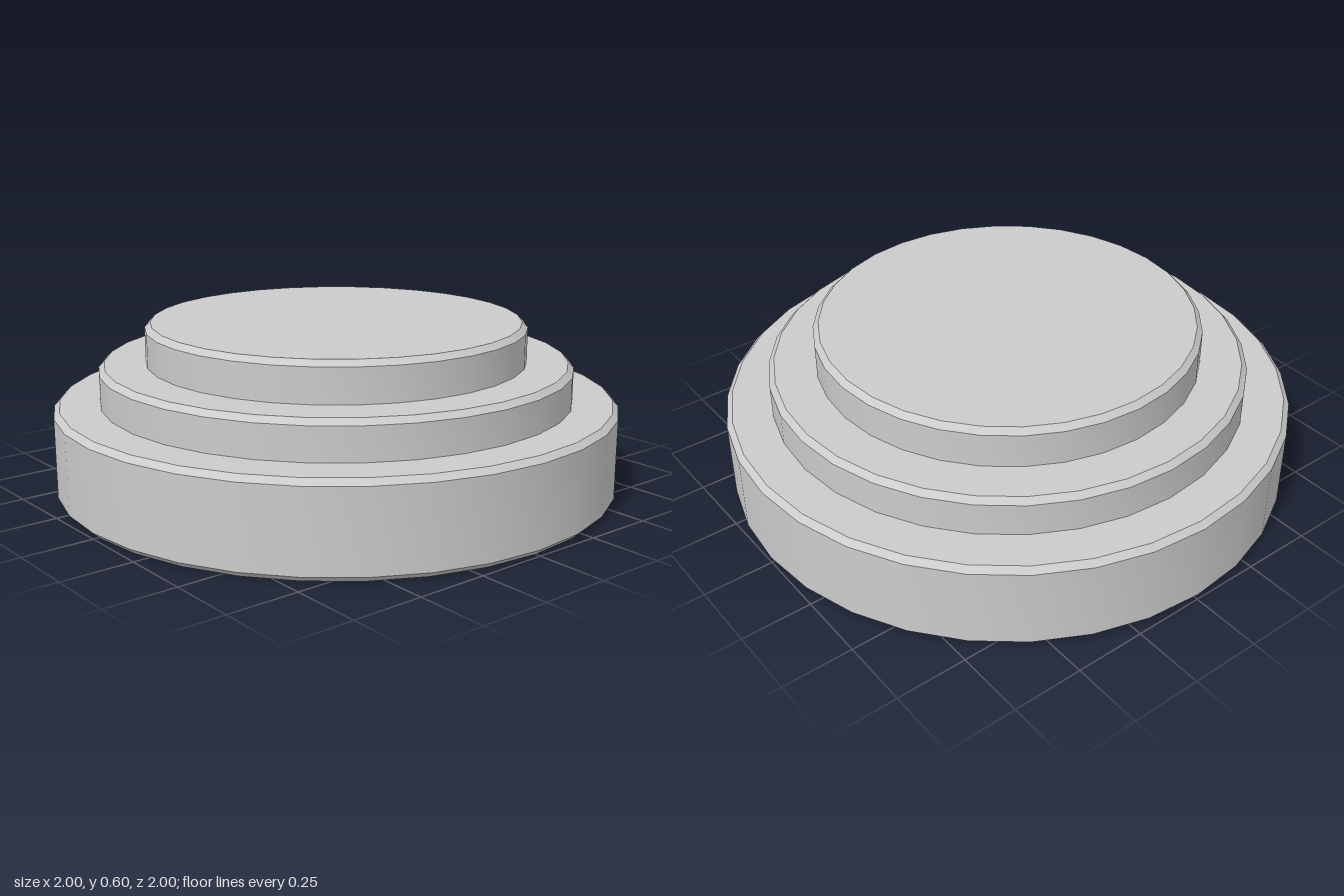
import * as THREE from 'three';
import { toCreasedNormals } from 'three/addons/utils/BufferGeometryUtils.js';

const SIDES = 32;
const BEVEL = 0.02;
const HOLE_RADIUS = 0.13, HOLE_DEPTH = 0.4;
const BASE_R = 1, MIDDLE_R = 0.84, TOP_R = 0.675;
const BASE_Y = 0.32, MIDDLE_Y = 0.455, TOP_Y = 0.595;

export function createModel() {
  const group = new THREE.Group();
  const material = new THREE.MeshStandardMaterial({ color: 0xcccccc });

  // Turned part: smooth around the axis, sharp at profile corners
  function turned(name, points) {
    const profile = points.map(([r, y]) => new THREE.Vector2(r, y));
    const geometry = toCreasedNormals(new THREE.LatheGeometry(profile, SIDES), 0.5);
    const mesh = new THREE.Mesh(geometry, material);
    mesh.name = name;
    group.add(mesh);
  }

  // Side wall with a bevelled upper rim, then a flat ledge in to the next tier
  const tier = (radius, top, inner) => [
    [radius, top - BEVEL], [radius - BEVEL, top], [inner, top],
  ];

  // Blind hole in the underside
  turned('mountingHole', [[0, HOLE_DEPTH], [HOLE_RADIUS, HOLE_DEPTH], [HOLE_RADIUS, 0]]);

  // Base disc, bevelled below as well as above
  turned('baseDisc', [
    [HOLE_RADIUS, 0], [BASE_R - BEVEL, 0], [BASE_R, BEVEL],
    ...tier(BASE_R, BASE_Y, MIDDLE_R),
  ]);

  // Two smaller stacked discs
  turned('middleDisc', [[MIDDLE_R, BASE_Y], ...tier(MIDDLE_R, MIDDLE_Y, TOP_R)]);
  turned('topDisc', [[TOP_R, MIDDLE_Y], ...tier(TOP_R, TOP_Y, 0)]);

  return group;
}
